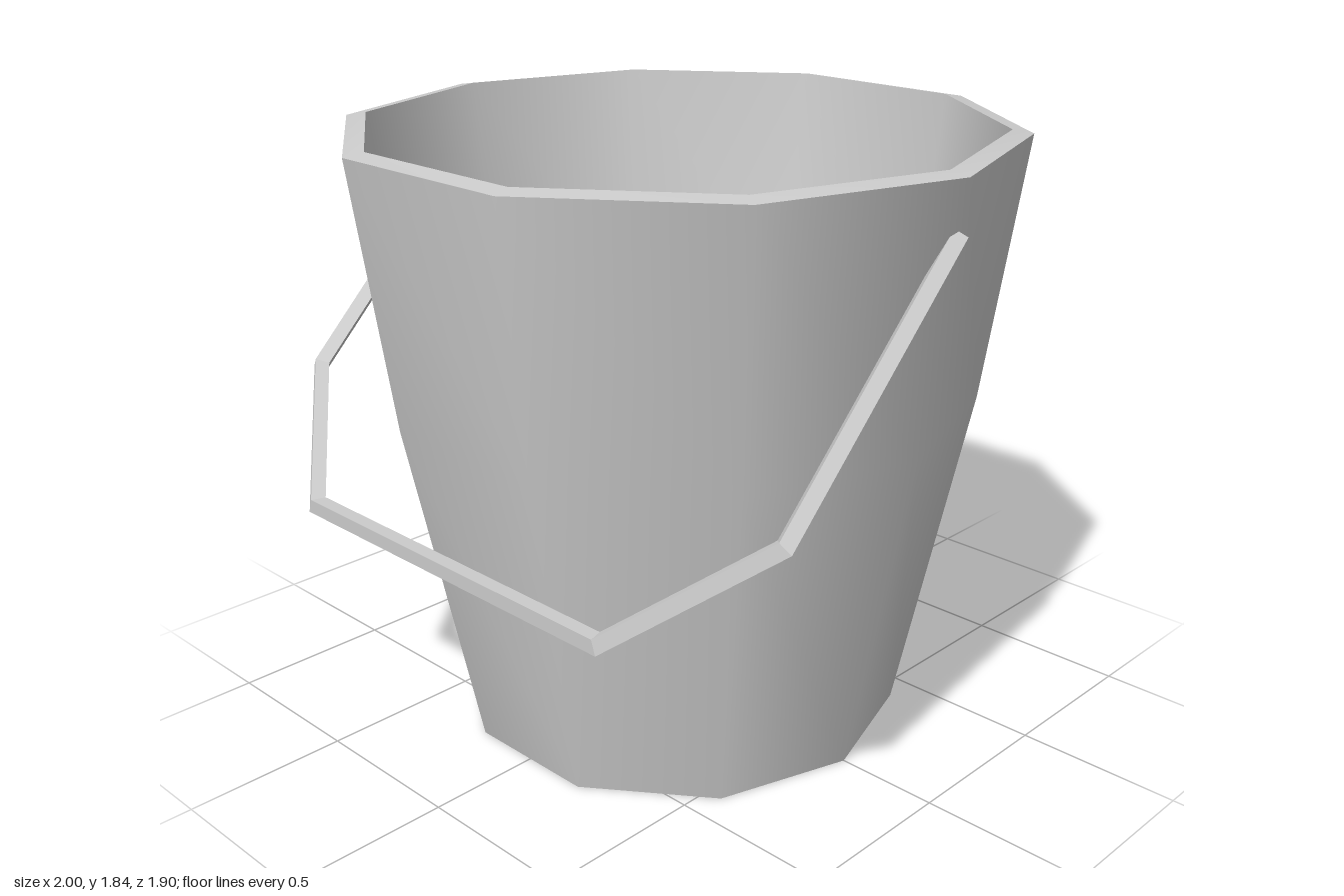
import * as THREE from 'three';
import { toCreasedNormals } from 'three/addons/utils/BufferGeometryUtils.js';

// Diamond-section rod swept along a flat path with mitred corners
function sweepRod(path, r) {
  const pos = [], index = [];
  const n = path.length;
  const side = (a, b) => {
    const d = b.clone().sub(a).normalize();
    return new THREE.Vector2(d.y, -d.x);
  };
  path.forEach((p, i) => {
    const n0 = side(path[Math.max(i - 1, 0)], path[Math.max(i, 1)]);
    const n1 = side(path[Math.min(i, n - 2)], path[Math.min(i + 1, n - 1)]);
    const m = n0.clone().add(n1);
    m.multiplyScalar(r / (1 + n0.dot(n1)));
    pos.push(p.x + m.x, p.y + m.y, 0, p.x, p.y, r, p.x - m.x, p.y - m.y, 0, p.x, p.y, -r);
  });
  for (let i = 0; i < n - 1; i++) {
    for (let k = 0; k < 4; k++) {
      const a = i * 4 + k, b = i * 4 + (k + 1) % 4;
      index.push(a, a + 4, b + 4, a, b + 4, b);
    }
  }
  // End caps
  const e = (n - 1) * 4;
  index.push(0, 1, 2, 0, 2, 3, e, e + 2, e + 1, e, e + 3, e + 2);
  const geo = new THREE.BufferGeometry();
  geo.setAttribute('position', new THREE.Float32BufferAttribute(pos, 3));
  geo.setIndex(index);
  const flat = geo.toNonIndexed();
  flat.computeVertexNormals();
  return flat;
}

export function createModel() {
  const group = new THREE.Group();
  group.name = 'bucket';

  // Ten-sided pail: underside, outer wall, rim, inner wall, floor
  const profile = [
    [0, 0], [0.685, 0], [0.893, 1.04], [1, 1.83],
    [0.94, 1.84], [0.838, 1.04], [0.64, 0.05], [0, 0.05],
  ].map(([x, y]) => new THREE.Vector2(x, y));
  const pail = new THREE.Mesh(
    toCreasedNormals(new THREE.LatheGeometry(profile, 10, Math.PI / 2), 0.8),
    new THREE.MeshStandardMaterial({ color: 0xcccccc }),
  );
  pail.name = 'pail';
  group.add(pail);

  // Handle tilted forward from its side pivots
  const half = [[-0.97, 0], [-0.97, -0.92], [-0.61, -1.325]];
  const path = [...half, ...half.map(([x, y]) => [-x, y]).reverse()]
    .map(([x, y]) => new THREE.Vector2(x, y));
  const handle = new THREE.Mesh(
    sweepRod(path, 0.03),
    new THREE.MeshStandardMaterial({ color: 0xcccccc, flatShading: true }),
  );
  handle.name = 'handle';
  handle.position.set(0, 1.675, -0.01);
  handle.rotation.x = -Math.PI / 4;
  group.add(handle);

  return group;
}
